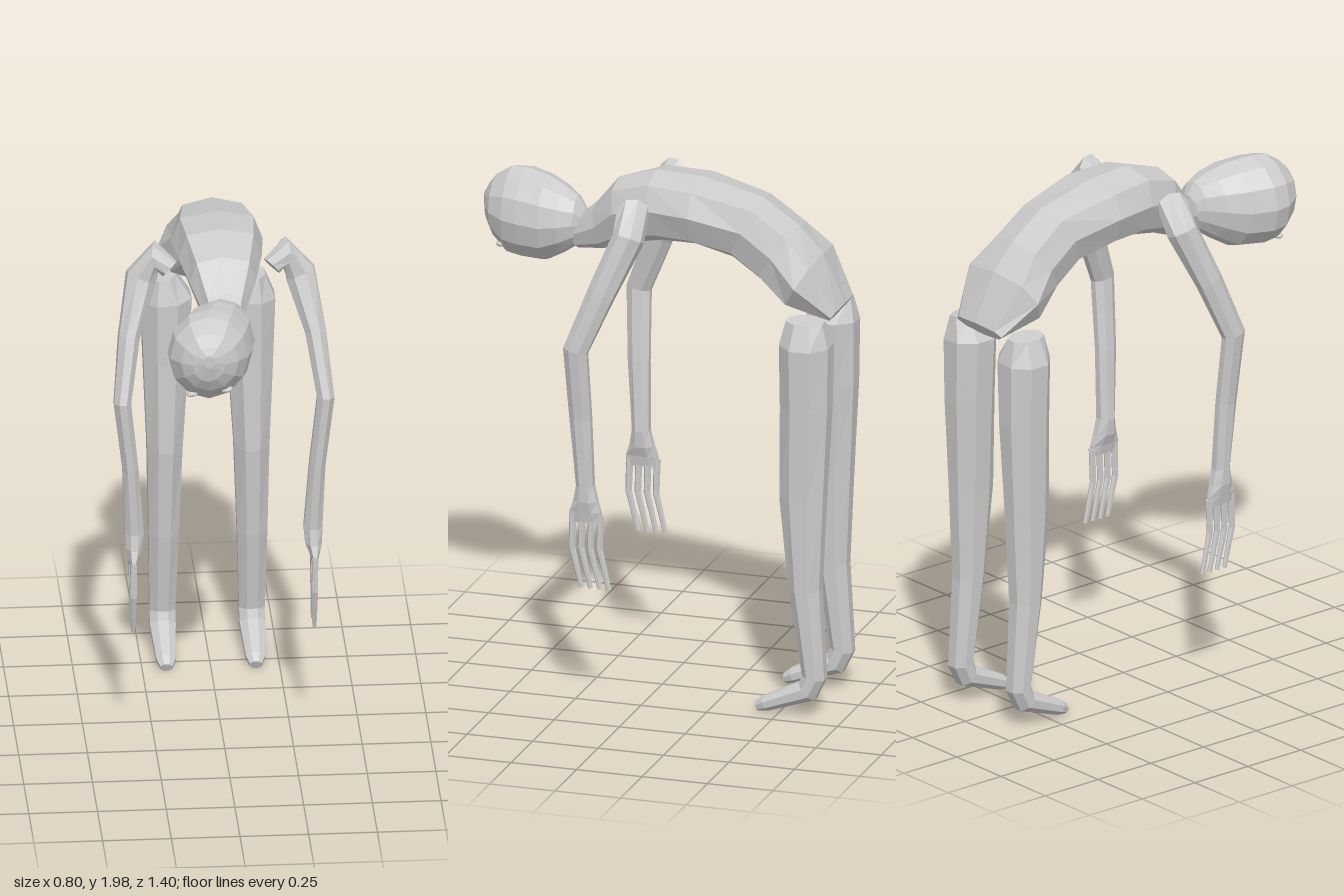
import * as THREE from 'three';

const V = (x, y, z) => new THREE.Vector3(x, y, z);

// Closed skin over a list of equal-sized rings, each counter-clockwise about the path.
function skin(rings) {
  const n = rings[0].length, pos = [], idx = [];
  rings.forEach(r => r.forEach(p => pos.push(p.x, p.y, p.z)));
  for (let i = 0; i < rings.length - 1; i++) {
    for (let j = 0; j < n; j++) {
      const k = (j + 1) % n, a = i * n + j, b = i * n + k;
      idx.push(a, b, b + n, a, b + n, a + n);
    }
  }
  [0, rings.length - 1].forEach((i, end) => {
    const c = rings[i].reduce((s, p) => s.add(p), V(0, 0, 0)).divideScalar(n);
    const ci = pos.length / 3;
    pos.push(c.x, c.y, c.z);
    for (let j = 0; j < n; j++) {
      const a = i * n + j, b = i * n + (j + 1) % n;
      if (end) idx.push(ci, a, b); else idx.push(ci, b, a);
    }
  });
  const g = new THREE.BufferGeometry();
  g.setAttribute('position', new THREE.Float32BufferAttribute(pos, 3));
  g.setIndex(idx);
  const flat = g.toNonIndexed();
  flat.computeVertexNormals();
  return flat;
}

// Limb along stations [x, y, z, radius across, radius fore-aft]; ref fixes the ring direction.
function limb(stations, side, sides, ref) {
  const pts = stations.map(s => V(s[0] * side, s[1], s[2]));
  return skin(pts.map((p, i) => {
    const before = pts[Math.max(i - 1, 0)], after = pts[Math.min(i + 1, pts.length - 1)];
    const d0 = p.clone().sub(before).normalize(), d1 = after.clone().sub(p).normalize();
    const t = d0.add(d1).normalize();
    const r = (ref === 'x' ? V(1, 0, 0) : V(0, 0, 1));
    r.addScaledVector(t, -r.dot(t)).normalize();
    const u = ref === 'x' ? r : r.clone().cross(t);
    const v = ref === 'x' ? t.clone().cross(r) : r;
    return Array.from({ length: sides }, (_, j) => {
      const a = (j + 0.5) / sides * Math.PI * 2, k = 1 / Math.cos(Math.PI / sides);
      return p.clone().addScaledVector(u, Math.cos(a) * k * stations[i][3])
        .addScaledVector(v, Math.sin(a) * k * stations[i][4]);
    });
  }));
}

export function createModel() {
  const model = new THREE.Group();
  const grey = new THREE.MeshStandardMaterial({ color: 0xcccccc, flatShading: true });
  grey.name = 'pale grey';
  const add = (name, geometry, parent = model) => {
    const m = new THREE.Mesh(geometry, grey);
    m.name = name;
    parent.add(m);
    return m;
  };

  // Torso: back point (z, y), belly point (z, y), half width, from neck to hips
  const torso = [
    [0.34, 1.77, 0.32, 1.66, 0.05], [0.25, 1.845, 0.22, 1.67, 0.08],
    [0.165, 1.95, 0.14, 1.70, 0.12], [0.02, 1.995, 0, 1.725, 0.152],
    [-0.155, 1.985, -0.14, 1.725, 0.167], [-0.39, 1.93, -0.27, 1.69, 0.135],
    [-0.525, 1.835, -0.37, 1.62, 0.14], [-0.615, 1.74, -0.49, 1.535, 0.187],
    [-0.70, 1.56, -0.66, 1.505, 0.125],
  ];
  const half = [[1, 0.15], [0.8, 0.82], [0, 1], [-0.8, 0.82], [-1, 0.15], [-0.75, -0.6], [0, -1], [0.75, -0.6]];
  add('torso', skin(torso.map(([tz, ty, bz, by, w]) => half.map(([a, b]) =>
    V(-a * w, (ty + by) / 2 + b * (ty - by) / 2, (tz + bz) / 2 + b * (tz - bz) / 2)))));

  // Head: z, left and right edge in x, bottom and top in y
  const head = [
    [0.295, -0.05, 0.03, 1.70, 1.81], [0.325, -0.085, 0.065, 1.67, 1.855],
    [0.38, -0.14, 0.09, 1.63, 1.885], [0.45, -0.19, 0.095, 1.588, 1.91],
    [0.54, -0.23, 0.08, 1.584, 1.922], [0.60, -0.225, 0.06, 1.592, 1.918],
    [0.66, -0.19, 0.02, 1.65, 1.88], [0.69, -0.15, -0.03, 1.70, 1.84],
    [0.705, -0.11, -0.07, 1.76, 1.81],
  ];
  add('head', skin(head.map(([z, x0, x1, y0, y1]) => Array.from({ length: 12 }, (_, j) => {
    const a = j / 12 * Math.PI * 2;
    return V((x0 + x1) / 2 + Math.cos(a) * (x1 - x0) / 2, (y0 + y1) / 2 + Math.sin(a) * (y1 - y0) / 2, z);
  }))));

  // Eyes low on the hanging face
  [[-0.02, 1.637, 0.622], [-0.145, 1.617, 0.607]].forEach(p => {
    const eye = add('eye', new THREE.SphereGeometry(1, 8, 6));
    eye.scale.set(0.024, 0.011, 0.02);
    eye.rotation.z = 0.15;
    eye.position.set(...p);
  });

  const arm = [
    [0.185, 1.86, 0.06, 0.035, 0.04], [0.235, 1.905, 0.035, 0.05, 0.055],
    [0.29, 1.82, 0.035, 0.055, 0.055], [0.34, 1.62, 0.12, 0.038, 0.05],
    [0.37, 1.40, 0.21, 0.031, 0.045], [0.34, 1.13, 0.20, 0.029, 0.04],
    [0.325, 0.87, 0.187, 0.034, 0.032], [0.327, 0.81, 0.185, 0.03, 0.045],
    [0.33, 0.77, 0.185, 0.018, 0.06], [0.33, 0.73, 0.185, 0.01, 0.062],
  ];
  const leg = [
    [0.163, 1.532, -0.60, 0.045, 0.07], [0.152, 1.44, -0.60, 0.092, 0.093],
    [0.154, 1.20, -0.60, 0.082, 0.09], [0.158, 0.85, -0.59, 0.064, 0.083],
    [0.161, 0.50, -0.60, 0.055, 0.058], [0.163, 0.17, -0.635, 0.047, 0.043],
    [0.163, 0.115, -0.61, 0.047, 0.042], [0.163, 0.05, -0.45, 0.035, 0.028],
    [0.163, 0.035, -0.417, 0.022, 0.018],
  ];

  [1, -1].forEach(side => {
    const label = side > 0 ? 'left' : 'right';
    add(label + 'Leg', limb(leg, side, 8, 'x'));
    const armGroup = new THREE.Group();
    armGroup.name = label + 'ArmGroup';
    model.add(armGroup);
    add(label + 'Arm', limb(arm, side, 8, 'z'), armGroup);
    // Four slightly bent fingers
    for (let f = 0; f < 4; f++) {
      const z = 0.237 - f * 0.035;
      add(label + 'Finger', limb([
        [0.33, 0.76, z - 0.004, 0.011, 0.012], [0.33, 0.63, z, 0.01, 0.011],
        [0.33, 0.478, z - 0.036, 0.007, 0.008],
      ], side, 6, 'x'), armGroup);
    }
  });
  return model;
}
